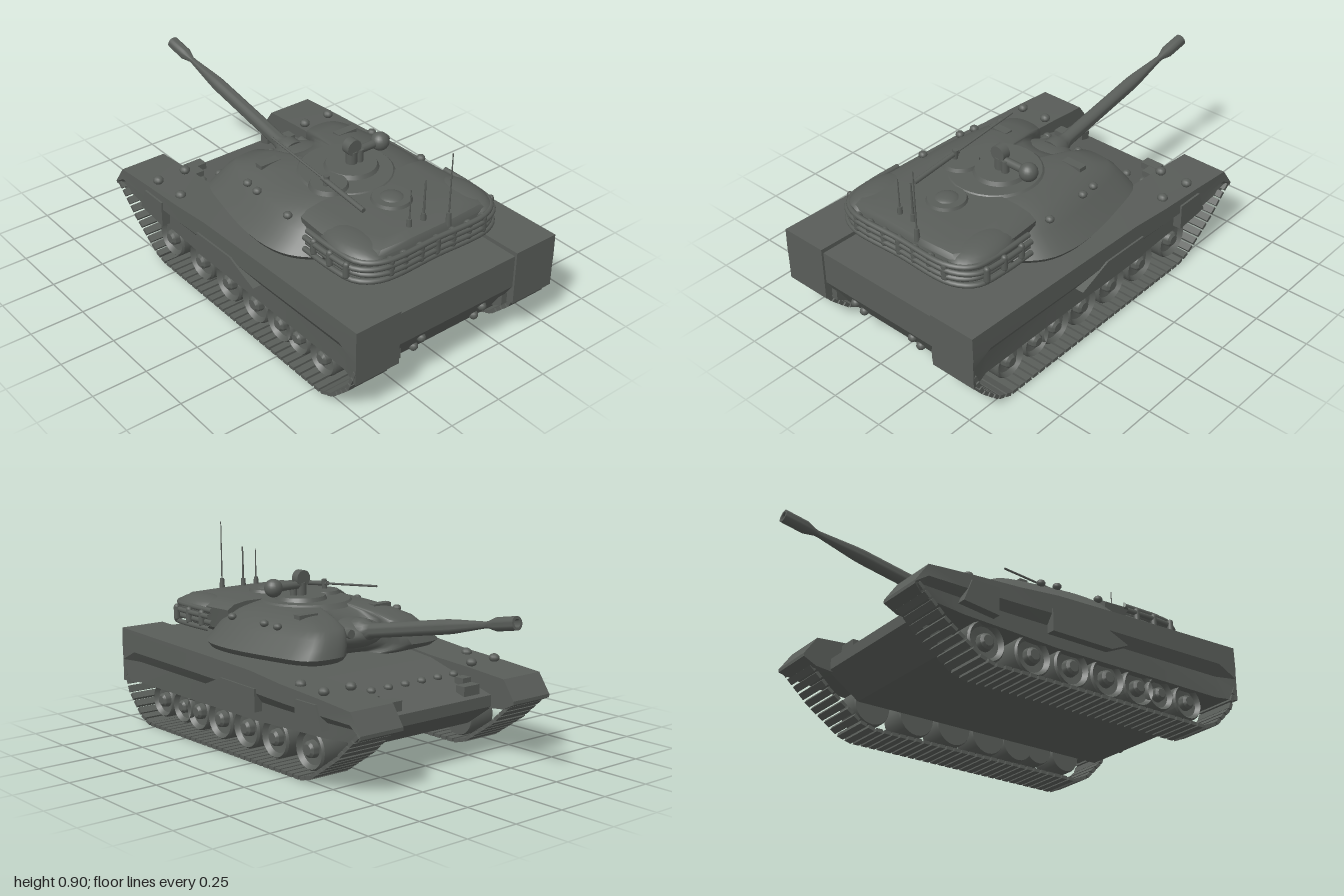
import * as THREE from 'three';
import { toCreasedNormals } from 'three/addons/utils/BufferGeometryUtils.js';

const V = (x, y, z) => new THREE.Vector3(x, y, z);
const armour = new THREE.MeshStandardMaterial({ color: 0x595d59 });
armour.name = 'armour grey';

function add(parent, name, geo, x = 0, y = 0, z = 0) {
  const m = new THREE.Mesh(geo, armour);
  m.name = name;
  m.position.set(x, y, z);
  parent.add(m);
  return m;
}

// Closed skin over matching rings, capped at both ends and turned outward
function loft(rings, crease = 0.6) {
  const tris = [], n = rings[0].length;
  for (let i = 0; i + 1 < rings.length; i++) {
    for (let j = 0; j < n; j++) {
      const k = (j + 1) % n, a = rings[i], b = rings[i + 1];
      tris.push([a[j], a[k], b[k]], [a[j], b[k], b[j]]);
    }
  }
  for (const [ring, first] of [[rings[0], true], [rings.at(-1), false]]) {
    const c = ring.reduce((s, p) => s.add(p), V(0, 0, 0)).divideScalar(n);
    ring.forEach((p, j) => {
      const q = ring[(j + 1) % n];
      tris.push(first ? [c, q, p] : [c, p, q]);
    });
  }
  const volume = tris.reduce((s, [a, b, c]) => s + a.dot(b.clone().cross(c)), 0);
  if (volume < 0) tris.forEach(t => t.reverse());
  const geo = new THREE.BufferGeometry().setFromPoints(tris.flat());
  return toCreasedNormals(geo, crease);
}

// Side profile in x and y, extruded from z0 to z1
function slab(pts, z0, z1) {
  const shape = new THREE.Shape(pts.map(p => new THREE.Vector2(...p)));
  return new THREE.ExtrudeGeometry(shape, { depth: z1 - z0, bevelEnabled: false }).translate(0, 0, z0);
}

// Round bar between two points
function rod(parent, name, a, b, ra, rb = ra, sides = 10) {
  const d = b.clone().sub(a);
  const m = add(parent, name, new THREE.CylinderGeometry(rb, ra, d.length(), sides));
  m.position.copy(a).addScaledVector(d, 0.5);
  m.quaternion.setFromUnitVectors(V(0, 1, 0), d.normalize());
  return m;
}

function stud(parent, name, x, y, z, r = 0.02) {
  add(parent, name, new THREE.SphereGeometry(r, 10, 8), x, y, z).scale.y = 0.8;
}

function buildHull(g) {
  add(g, 'hullBody', slab([[-0.57, 0.22], [-0.42, 0.115], [0.9, 0.115], [0.99, 0.26], [0.99, 0.41],
    [0, 0.39], [-0.2, 0.37], [-0.57, 0.27]], -0.325, 0.325));
  // Glacis fittings
  for (let i = -3; i <= 3; i++) stud(g, 'glacisBolt', -0.37, 0.33, i * 0.094);
  for (const s of [1, -1]) {
    add(g, 'glacisBox', new THREE.BoxGeometry(0.05, 0.05, 0.09), -0.52, 0.295, s * 0.22);
    add(g, 'glacisLamp', new THREE.BoxGeometry(0.05, 0.04, 0.05), -0.45, 0.315, s * 0.26);
    for (const y of [0.215, 0.145]) {
      add(g, 'rearBolt', new THREE.SphereGeometry(0.02, 10, 8), 0.965 - (0.215 - y) * 0.6, y, s * 0.165);
    }
    // Tow brackets on the lower rear plate
    add(g, 'towBracket', slab([[0.88, 0.12], [0.97, 0.17], [0.97, 0.22]], s * 0.29 - 0.015, s * 0.29 + 0.015));

    // Fender box with a skirt that tucks in below its waist
    const stations = [[-0.7, 0.25, 0.265], [-0.64, 0.22, 0.35], [-0.45, 0.2, 0.365], [-0.2, 0.19, 0.38],
      [0, 0.18, 0.4], [0.36, 0.18, 0.412], [0.9, 0.18, 0.427], [1, 0.18, 0.43]];
    add(g, 'fender', loft(stations.map(([x, b, t], i) => {
      const tuck = i > 0 && i < 7 ? 0.03 : 0, h = t - b;
      return [[0.31, b], [0.31, t], [0.53, t], [0.532, b + h * 0.6], [0.53 - tuck, b + h * 0.4], [0.53 - tuck, b]]
        .map(([z, y]) => V(x, y, s * z));
    }), 0.5));
    const out = (pts, name) => add(g, name, slab(pts, s > 0 ? 0.49 : -0.54, s > 0 ? 0.54 : -0.49));
    out([[-0.04, 0.23], [0.27, 0.23], [0.36, 0.27], [0.2, 0.335], [-0.04, 0.33]], 'skirtPlate');
    out([[-0.48, 0.24], [-0.31, 0.22], [-0.31, 0.34], [-0.44, 0.34]], 'skirtBox');
    for (const [x, z] of [[-0.42, 0.48], [-0.42, 0.34], [-0.26, 0.47]]) stud(g, 'fenderLamp', x, 0.382, s * z, 0.024);
  }
}

function buildRunningGear(g, s) {
  // Dished road wheels with hubs
  const rim = [[0, -0.07], [0.95, -0.07], [1, -0.06], [1, 0.055], [0.92, 0.065], [0.75, 0.045],
    [0.42, 0.04], [0.38, 0.065], [0.25, 0.075], [0, 0.075]];
  const wheels = [[-0.33, 0.09], [-0.1, 0.09], [0.1, 0.09], [0.29, 0.09], [0.46, 0.085], [0.58, 0.075], [0.74, 0.08]];
  for (const [x, r] of wheels) {
    const geo = new THREE.LatheGeometry(rim.map(([a, y]) => new THREE.Vector2(a * r, y)), 24);
    add(g, 'roadWheel', toCreasedNormals(geo, 0.6), x, 0.125, s * 0.42).rotation.x = s * Math.PI / 2;
  }
  // Separate track links along the lower run
  const path = new THREE.CurvePath();
  const pts = [[-0.67, 0.25], [-0.55, 0.14], [-0.39, 0.03], [-0.33, 0.013], [0.79, 0.01], [0.86, 0.04], [0.95, 0.13], [0.985, 0.22]];
  for (let i = 0; i + 1 < pts.length; i++) path.add(new THREE.LineCurve3(V(...pts[i], 0), V(...pts[i + 1], 0)));
  const count = Math.round(path.getLength() / 0.041);
  for (let i = 0; i <= count; i++) {
    const p = path.getPointAt(i / count), t = path.getTangentAt(i / count);
    add(g, 'trackLink', new THREE.BoxGeometry(0.031, 0.016, 0.195), p.x, p.y, s * 0.432).rotation.z = Math.atan2(t.y, t.x);
  }
}

function buildTurret(g) {
  // Rounded shell with a notch between the cheeks
  const half = [[-0.08, 0.12], [-0.19, 0.17], [-0.21, 0.27], [-0.18, 0.37], [0, 0.43], [0.3, 0.47], [0.46, 0.43], [0.58, 0.3], [0.65, 0.12]];
  const loop = [...half, ...half.map(([x, z]) => [x, -z]).reverse()].map(([x, z]) => V(x, 0, z));
  const outline = new THREE.CatmullRomCurve3(loop, true, 'centripetal').getPoints(72).slice(0, -1);
  const levels = [[0.395, 0.8, 0.75], [0.42, 0.94, 0.96], [0.445, 1, 1], [0.48, 0.97, 0.91], [0.52, 0.93, 0.82],
    [0.55, 0.87, 0.75], [0.575, 0.7, 0.65], [0.597, 0.45, 0.5], [0.603, 0.2, 0.2]];
  add(g, 'turretShell', loft(levels.map(([y, sx, sz]) =>
    outline.map(p => V(0.3 + (p.x - 0.3) * sx, y, p.z * sz))), 1));

  // Bustle and its side bins
  const back = [[0.42, 0.34], [0.56, 0.35], [0.76, 0.34], [0.83, 0.29], [0.84, 0.1]];
  const rear = [...back, ...back.map(([x, z]) => [x, -z]).reverse()];
  add(g, 'bustle', loft([[0.43, 0.8, 0.7], [0.475, 1, 0.95], [0.57, 1, 1], [0.592, 0.97, 0.9], [0.602, 0.85, 0.7]]
    .map(([y, sx, sz]) => rear.map(([x, z]) => V(0.42 + (x - 0.42) * sx, y, z * sz))), 0.8));
  for (const s of [1, -1]) {
    const bin = add(g, 'bustleBin', new THREE.SphereGeometry(1, 24, 14), 0.68, 0.55, s * 0.28);
    bin.scale.set(0.17, 0.055, 0.1);
    for (const [x, y, z] of [[0.06, 0.552, 0.34], [0.14, 0.556, 0.35], [0.36, 0.555, 0.36]]) stud(g, 'turretBolt', x, y, s * z);
    add(g, 'roofSight', new THREE.BoxGeometry(0.04, 0.04, 0.1), 0.03, 0.575, s * 0.21);
  }

  // Stowage rails wrapped around the bustle, held by straps
  [0.48, 0.505, 0.535, 0.56].forEach((y, i) => {
    const w = 0.385 - (i % 2) * 0.015;
    const pts = [[0.5, w], [0.66, w], [0.79, w - 0.02], [0.85, w - 0.1], [0.855, 0]];
    const all = [...pts, ...pts.slice(0, 4).map(([x, z]) => [x, -z]).reverse()];
    const rail = new THREE.CatmullRomCurve3(all.map(([x, z]) => V(x, y, z)));
    add(g, 'stowageRail', new THREE.TubeGeometry(rail, 48, 0.012, 8));
  });
  for (const z of [0.24, 0.17, 0.085, 0, -0.085, -0.17, -0.25]) {
    add(g, 'rackStrap', new THREE.CapsuleGeometry(0.019, 0.055, 4, 10), 0.85, 0.525, z);
  }
  for (const s of [1, -1]) for (const x of [0.56, 0.66, 0.76]) {
    add(g, 'rackStrap', new THREE.CapsuleGeometry(0.014, 0.05, 4, 10), x, 0.52, s * 0.385);
  }

  // Roof ring, hatches and dome
  const disc = (name, x, y, z, r, h) => add(g, name, new THREE.CylinderGeometry(r * 0.9, r, h, 32), x, y, z);
  disc('roofRing', 0.29, 0.596, 0, 0.22, 0.022);
  disc('commanderHatch', 0.29, 0.613, -0.03, 0.12, 0.022);
  disc('loaderHatch', 0.35, 0.613, 0.14, 0.085, 0.018);
  disc('rearHatch', 0.58, 0.605, 0, 0.09, 0.02);
  add(g, 'rearDome', new THREE.SphereGeometry(0.055, 20, 12), 0.58, 0.605, 0).scale.y = 0.4;

  // Sight head on the cupola
  rod(g, 'sightPost', V(0.29, 0.61, -0.03), V(0.29, 0.68, -0.03), 0.025);
  rod(g, 'sightDisc', V(0.27, 0.7, -0.03), V(0.31, 0.7, -0.03), 0.036, 0.036, 20);
  rod(g, 'sightArm', V(0.29, 0.67, -0.03), V(0.29, 0.67, -0.18), 0.018);
  add(g, 'sightBall', new THREE.SphereGeometry(0.041, 20, 14), 0.29, 0.67, -0.185);
  rod(g, 'periscope', V(0.3, 0.61, -0.065), V(0.3, 0.68, -0.065), 0.017);

  // Roof machine gun
  rod(g, 'machineGunBarrel', V(0, 0.678, 0.165), V(0.36, 0.645, 0.165), 0.005);
  rod(g, 'machineGunBody', V(0.34, 0.647, 0.165), V(0.6, 0.622, 0.165), 0.011);
  rod(g, 'machineGunMount', V(0.36, 0.6, 0.165), V(0.36, 0.665, 0.16), 0.012);

  // Aerials
  for (const [x, z, top, r] of [[0.77, 0, 0.785, 0.006], [0.77, 0.075, 0.77, 0.004], [0.83, -0.08, 0.905, 0.004]]) {
    rod(g, 'aerialBase', V(x, 0.575, z), V(x, 0.635, z), 0.014, 0.01);
    rod(g, 'aerial', V(x, 0.6, z), V(x + 0.003, top, z), r, r * 0.6, 6);
  }
}

function buildGun(g) {
  // Mantlet and collars
  const mantlet = add(g, 'mantlet', new THREE.SphereGeometry(1, 24, 16), -0.02, 0.495, 0);
  mantlet.scale.set(0.13, 0.065, 0.15);
  for (const z of [-0.09, 0.08]) rod(g, 'mantletSight', V(-0.13, 0.515, z), V(0, 0.505, z), 0.02);
  // Barrel with a necked muzzle, raised slightly
  const profile = [[0, 0], [0.06, 0], [0.055, 0.05], [0.04, 0.07], [0.032, 0.1], [0.031, 0.56], [0.029, 0.6], [0.014, 0.77],
    [0.014, 0.79], [0.028, 0.84], [0.028, 0.945], [0.017, 0.945], [0.014, 0.9], [0, 0.9]];
  const geo = new THREE.LatheGeometry(profile.map(p => new THREE.Vector2(...p)), 24);
  add(g, 'gunBarrel', toCreasedNormals(geo, 0.6), -0.07, 0.507, 0).rotation.z = Math.PI / 2 - 0.186;
}

export function createModel() {
  const model = new THREE.Group();
  model.name = 'tank';
  const group = name => {
    const g = new THREE.Group();
    g.name = name;
    model.add(g);
    return g;
  };
  buildHull(group('hull'));
  buildRunningGear(group('leftRunningGear'), 1);
  buildRunningGear(group('rightRunningGear'), -1);
  buildTurret(group('turret'));
  buildGun(group('gun'));
  return model;
}
